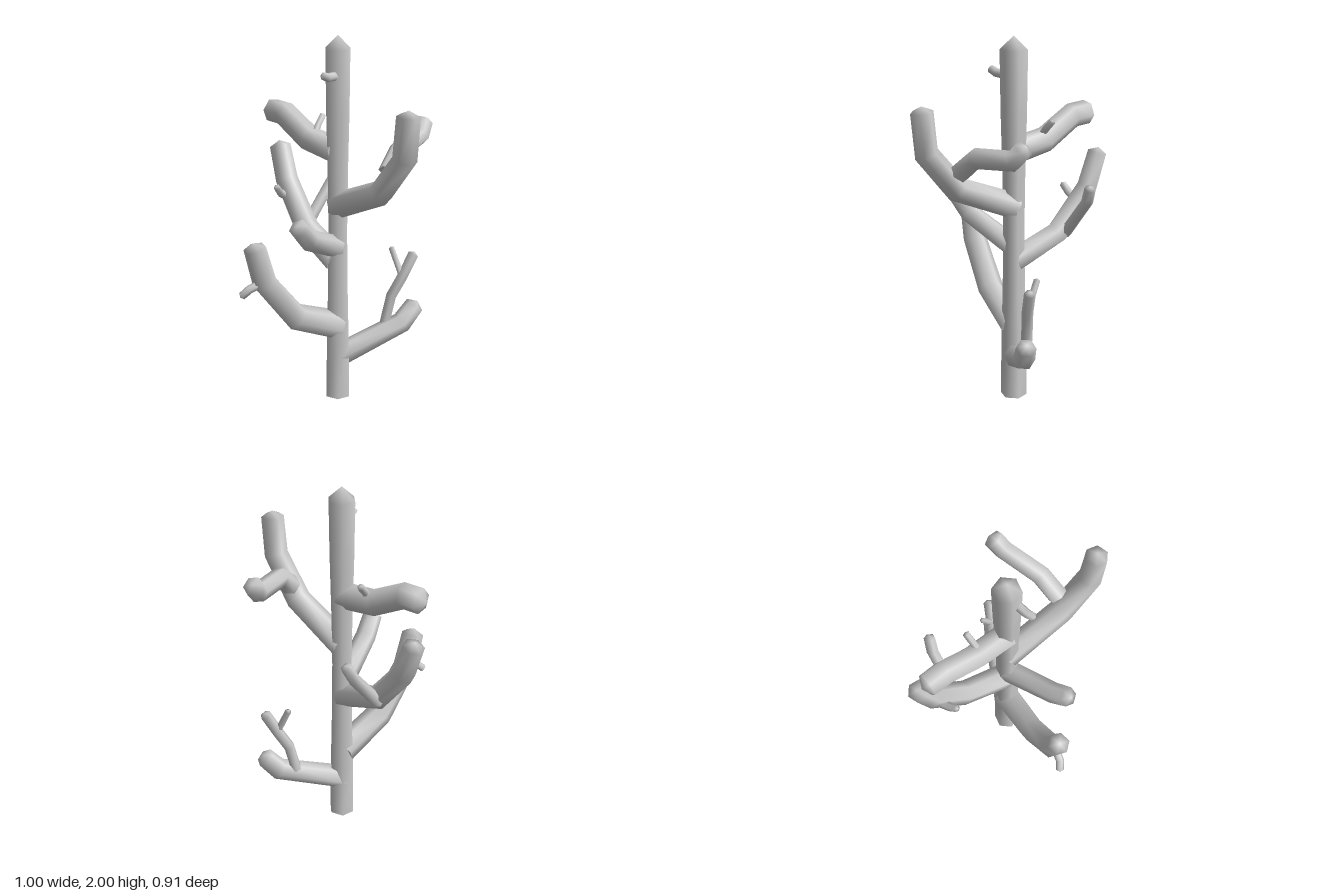
import * as THREE from 'three';

const SIDES = 6;
const material = new THREE.MeshStandardMaterial({ color: 0xcccccc });

// Six-sided limb swept along points, mitred at the bends, closed by a flat base and a blunt tip
function limbGeometry(pts, radiusAt, tipLength) {
  const n = pts.length;
  const dirs = pts.slice(1).map((p, i) => p.clone().sub(pts[i]).normalize());
  const positions = [], index = [];
  const side = new THREE.Vector3(0, 0, 1);
  const addRing = (c, u, v, r) => {
    for (let k = 0; k < SIDES; k++) {
      const a = (k / SIDES) * Math.PI * 2;
      const p = c.clone().addScaledVector(u, Math.cos(a) * r).addScaledVector(v, Math.sin(a) * r);
      positions.push(p.x, p.y, p.z);
    }
  };
  for (let i = 0; i < n; i++) {
    const t = dirs[Math.max(i - 1, 0)].clone().add(dirs[Math.min(i, n - 2)]).normalize();
    const u = side.addScaledVector(t, -side.dot(t)).normalize().clone();
    const v = t.clone().cross(u);
    const r = radiusAt(i / (n - 1));
    if (i === 0) addRing(pts[0], u, v, r); // separate ring keeps the base edge sharp
    addRing(pts[i], u, v, r);
  }
  const base = positions.length / 3, tip = base + 1;
  const apex = pts[n - 1].clone().addScaledVector(dirs[n - 2], tipLength);
  positions.push(...pts[0].toArray(), ...apex.toArray());
  for (let k = 0; k < SIDES; k++) {
    const m = (k + 1) % SIDES;
    index.push(base, m, k);
    for (let i = 1; i < n; i++) {
      const a = i * SIDES, b = a + SIDES;
      index.push(a + k, a + m, b + m, a + k, b + m, b + k);
    }
    index.push(n * SIDES + k, n * SIDES + m, tip);
  }
  const g = new THREE.BufferGeometry();
  g.setAttribute('position', new THREE.Float32BufferAttribute(positions, 3));
  g.setIndex(index);
  g.computeVertexNormals();
  return g;
}

export function createModel() {
  const model = new THREE.Group();
  model.name = 'branchingPlant';
  const add = (name, pts, radiusAt, tipLength) => {
    const mesh = new THREE.Mesh(limbGeometry(pts, radiusAt, tipLength), material);
    mesh.name = name;
    model.add(mesh);
  };
  const limb = (name, r0, r1, pts) =>
    add(name, pts, (t) => THREE.MathUtils.lerp(r0, r1, t), r1 * 0.5);

  // Main branch: leaves the trunk at one heading, profile given as [distance out, height]
  const branch = (name, heading, r0, r1, ...profile) =>
    limb(name, r0, r1, profile.map(([d, y]) =>
      new THREE.Vector3(Math.cos(heading) * d, y, Math.sin(heading) * d)));

  // Shoot: grows from a branch through a few points
  const shoot = (name, r0, r1, ...points) =>
    limb(name, r0, r1, points.map((p) => new THREE.Vector3(...p)));

  // trunk, narrowest at mid height
  const trunkPoints = Array.from({ length: 7 }, (_, i) => new THREE.Vector3(0.005, (i / 6) * 1.93, 0));
  add('trunk', trunkPoints, (t) => 0.065 + 0.008 * Math.cos(t * Math.PI * 2), 0.07);

  // low limb on the left with a forked shoot
  branch('lowLeftBranch', -0.29, 0.065, 0.053, [0, 0.23], [0.375, 0.385], [0.451, 0.482]);
  shoot('lowLeftShoot', 0.03, 0.03, [0.265, 0.38, -0.105], [0.3, 0.54, -0.115], [0.36, 0.65, -0.125], [0.42, 0.775, -0.145]);
  shoot('lowLeftTwig', 0.018, 0.017, [0.355, 0.66, -0.125], [0.3, 0.805, -0.165]);

  // low front limb on the right
  branch('lowFrontBranch', 2.492, 0.078, 0.06, [0, 0.42], [0.275, 0.535], [0.467, 0.775], [0.521, 0.97]);
  shoot('lowFrontTwig', 0.023, 0.021, [-0.38, 0.78, 0.3], [-0.445, 0.755, 0.335], [-0.485, 0.72, 0.34]);

  // short front limb
  branch('middleFrontBranch', 2.08, 0.06, 0.052, [0, 0.87], [0.298, 0.995], [0.391, 1.085]);

  // middle back limb with its shoots
  branch('middleBackBranch', -2.23, 0.07, 0.058, [0, 0.79], [0.27, 0.905], [0.456, 1.14], [0.517, 1.325]);
  shoot('middleBackShoot', 0.034, 0.03, [-0.165, 0.91, -0.26], [-0.03, 1.13, -0.385], [0.012, 1.215, -0.402]);
  shoot('middleBackTwig', 0.026, 0.019, [-0.28, 1.06, -0.32], [-0.31, 1.09, -0.26], [-0.328, 1.135, -0.222]);

  // high back limb
  branch('highBackBranch', -2.37, 0.07, 0.065, [0, 1.4], [0.205, 1.43], [0.392, 1.535], [0.493, 1.54]);
  shoot('highBackTwig', 0.02, 0.019, [-0.12, 1.44, -0.12], [-0.1, 1.5, -0.155], [-0.075, 1.545, -0.19]);

  // high front limb with its sweeping side arm
  branch('highFrontBranch', 0.865, 0.07, 0.06, [0, 1.1], [0.34, 1.245], [0.51, 1.455], [0.53, 1.67]);
  shoot('highFrontArm', 0.055, 0.053, [0.26, 1.345, 0.235], [0.32, 1.44, 0.14], [0.43, 1.465, -0.06], [0.453, 1.53, -0.115]);

  // small stub near the top
  shoot('topTwig', 0.025, 0.021, [0, 1.8, 0.04], [-0.045, 1.8, 0.1], [-0.065, 1.815, 0.132]);

  return model;
}
